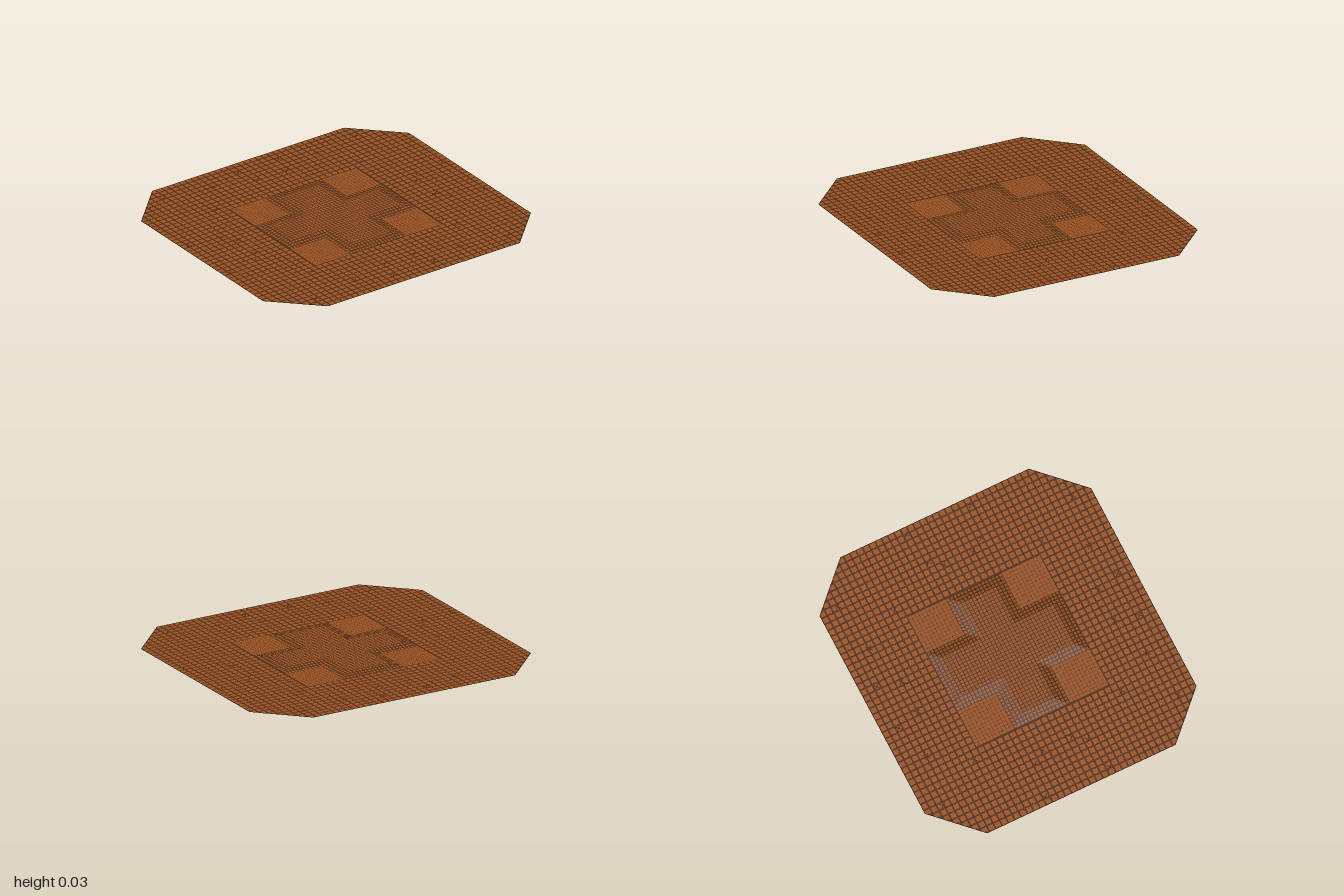
import * as THREE from 'three';

const GROUND = 0.008, RISE = 0.016, SLOPE = 0.07;
const HX = 1, HZ = 0.925, CUT = 1.642;   // half sizes and chamfered corner limit |x| + |z|
const MX = 0.47, MZ = 0.45;              // half sizes of the central area

const material = (color) => new THREE.MeshStandardMaterial({ color, side: THREE.DoubleSide });

// Depth inside the cross-shaped mound, 0 on its outer edge
const inside = (x, z) => Math.max(
  Math.min(MX - Math.abs(x), 0.18 - Math.abs(z)),
  Math.min(MZ - Math.abs(z), 0.21 - Math.abs(x)));
const height = (x, z) => GROUND + RISE * THREE.MathUtils.clamp(inside(x, z) / SLOPE, 0, 1);

// Keep a point inside the chamfered outline
function clip(x, z) {
  const limit = Math.min(HX, CUT - Math.abs(z));
  return [THREE.MathUtils.clamp(x, -limit, limit), z];
}

// Grid of separate flat tiles that follow the ground
function tiles(halfX, halfZ, nx, nz, gapOf, keep, offset) {
  const pos = [], index = [];
  const px = 2 * halfX / nx, pz = 2 * halfZ / nz;
  for (let i = 0; i < nx; i++) {
    for (let j = 0; j < nz; j++) {
      const cx = -halfX + (i + 0.5) * px, cz = -halfZ + (j + 0.5) * pz;
      if (!keep(cx, cz)) continue;
      const gap = gapOf(cx, cz), a = (px - gap) / 2, b = (pz - gap) / 2;
      const k = pos.length / 3;
      for (const [sx, sz] of [[-1, -1], [-1, 1], [1, 1], [1, -1]]) {
        const [x, z] = clip(cx + sx * a, cz + sz * b);
        pos.push(x, height(x, z) + offset, z);
      }
      index.push(k, k + 1, k + 2, k, k + 2, k + 3);
    }
  }
  const geo = new THREE.BufferGeometry();
  geo.setAttribute('position', new THREE.Float32BufferAttribute(pos, 3));
  geo.setIndex(index);
  geo.computeVertexNormals();
  return geo;
}

export function createModel() {
  const group = new THREE.Group();
  const brown = material(0x9a5222), dark = material(0x4c2a14);
  const add = (name, geo, mat) => {
    const mesh = new THREE.Mesh(geo, mat);
    mesh.name = name;
    group.add(mesh);
    return mesh;
  };

  // Chamfered ground sheet with an opening for the mound
  const cx = CUT - HZ, cz = CUT - HX;
  const outline = new THREE.Shape([
    [cx, -HZ], [HX, -cz], [HX, cz], [cx, HZ], [-cx, HZ], [-HX, cz], [-HX, -cz], [-cx, -HZ],
  ].map(([x, y]) => new THREE.Vector2(x, y)));
  outline.holes.push(new THREE.Path([
    [-MX, -MZ], [-MX, MZ], [MX, MZ], [MX, -MZ],
  ].map(([x, y]) => new THREE.Vector2(x, y))));
  const ground = new THREE.ShapeGeometry(outline).rotateX(-Math.PI / 2).translate(0, GROUND, 0);
  add('groundSheet', ground, dark);

  // Low cross-shaped mound
  const mound = new THREE.PlaneGeometry(2 * MX, 2 * MZ, 94, 90).rotateX(-Math.PI / 2);
  const p = mound.attributes.position;
  for (let i = 0; i < p.count; i++) p.setY(i, height(p.getX(i), p.getZ(i)));
  mound.computeVertexNormals();
  add('moundSheet', mound, dark);

  // Tiles on the upper and lower faces, finer over the mound
  const outer = (x, z) => (Math.abs(x) > MX || Math.abs(z) > MZ)
    && Math.abs(x) + Math.abs(z) < CUT + 0.02;
  const fineGap = (x, z) => {
    const d = inside(x, z);
    return d < 0 ? 0.002 : d < SLOPE ? 0.008 : 0.005;
  };
  for (const [side, offset] of [['upper', 0.0012], ['lower', -0.0012]]) {
    add(side + 'GroundTiles', tiles(HX, HZ, 46, 43, () => 0.01, outer, offset), brown);
    add(side + 'MoundTiles', tiles(MX, MZ, 40, 38, fineGap, () => true, offset), brown);
  }

  // Small panel beneath the middle
  add('lowerPanel', new THREE.PlaneGeometry(0.32, 0.24).rotateX(-Math.PI / 2), brown);

  // Small crossed marks scattered symmetrically on the ground
  const strip = new THREE.PlaneGeometry(0.05, 0.006).rotateX(-Math.PI / 2);
  const spots = [[0.72, 0.8], [0.39, 0.75], [0.15, 0.82], [0.11, 0.67], [0.54, 0.5],
    [0.73, 0.18], [0.95, 0.22], [0.67, 0.1]];
  for (const [x, z] of spots) {
    for (const sx of [-1, 1]) for (const sz of [-1, 1]) for (const turn of [-1, 1]) {
      const mark = add('groundMark', strip, dark);
      mark.position.set(sx * x, GROUND + 0.002, sz * z);
      mark.rotation.y = turn * Math.PI / 4;
    }
  }
  return group;
}
